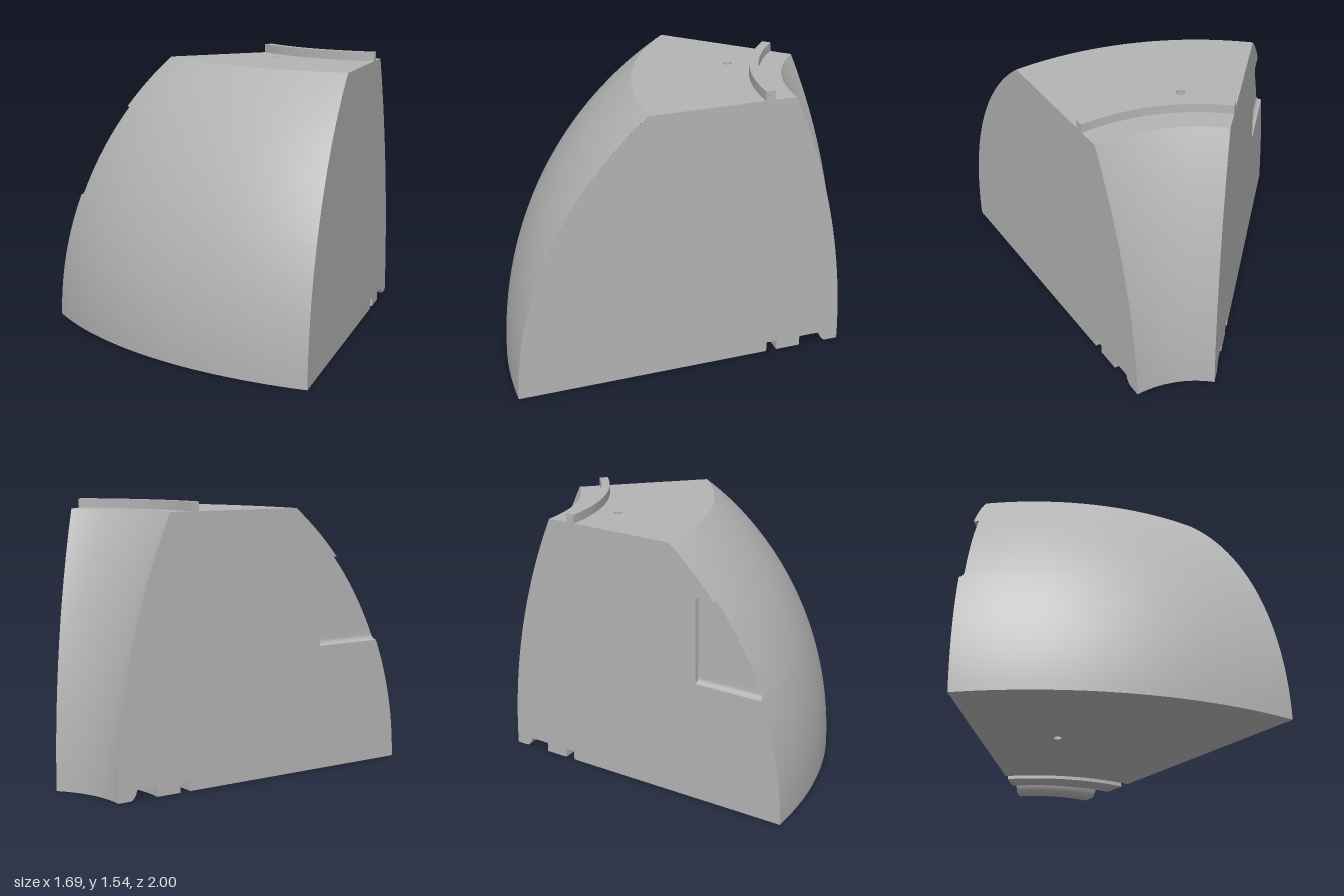
import * as THREE from 'three';
import { toCreasedNormals } from 'three/addons/utils/BufferGeometryUtils.js';

const V = (x, y) => new THREE.Vector2(x, y);
const SWEEP = Math.PI / 4, H = 1.49, SEG = 48;
const NOTCH = { r: 1.85, y0: 0.71, y1: 1.21, d: 0.03 };

// radius of the domed outer wall and of the hollow inner wall at height y
const outerR = y => 2.395 - (1.91 - Math.sqrt(1.91 ** 2 - y * y));
const innerR = y => 0.558 + (3.578 - Math.sqrt(3.578 ** 2 - y * y));
const range = (a, b, n) => Array.from({ length: n + 1 }, (_, i) => a + (b - a) * i / n);

export function createModel() {
  const grey = new THREE.MeshStandardMaterial({ color: 0xb4b4b4 });
  grey.name = 'grey';
  const model = new THREE.Group();
  model.name = 'domeSegment';
  // everything is built around the axis of revolution
  const body = new THREE.Group();
  body.name = 'segmentBody';
  body.position.set(0.845, 0, -1.395);
  model.add(body);

  const add = (name, geometry, parent = body) => {
    const mesh = new THREE.Mesh(geometry, grey);
    mesh.name = name;
    parent.add(mesh);
    return mesh;
  };
  const revolve = points =>
    toCreasedNormals(new THREE.LatheGeometry(points, SEG, -SWEEP, SWEEP), 0.5);

  // section pieces, counter-clockwise
  const inner = range(H, 0, 24).map(y => V(innerR(y), y));
  const grooves = [V(0.558, 0), V(0.635, 0), V(0.65, 0.012), V(0.662, 0.03), V(0.67, 0.055),
    V(0.79, 0.055), V(0.79, 0), V(0.93, 0), V(0.93, 0.055), V(0.99, 0.055), V(0.99, 0)];
  const ridge = [V(1.055, H), V(1.055, 1.54), V(1.005, 1.54), V(1.005, H), V(innerR(H), H)];

  add('innerWall', revolve(inner));
  add('bottomGrooves', revolve(grooves));
  add('topRidge', revolve(ridge));

  // notch depth by height: rounded lower ledge, flat floor, square upper ledge
  const notchRows = [
    ...range(0, Math.PI / 2, 6).map(a => [NOTCH.y0 + NOTCH.d * (1 - Math.cos(a)), NOTCH.d * Math.sin(a)]),
    ...range(NOTCH.y0 + NOTCH.d, NOTCH.y1, 10).slice(1).map(y => [y, NOTCH.d]),
    [NOTCH.y1 + 0.001, 0]];
  const lowRows = range(0, NOTCH.y0, 14).slice(0, -1).map(y => [y, 0]);
  const highRows = range(NOTCH.y1 + 0.001, H, 8).slice(1).map(y => [y, 0]);

  // outer wall, with its edge pulled back where the notch opens
  const rows = [...lowRows, ...notchRows, ...highRows];
  const wall = new THREE.LatheGeometry(rows.map(([y]) => V(outerR(y), y)), SEG, -SWEEP, SWEEP);
  const pos = wall.attributes.position;
  for (let i = 0; i < pos.count; i++) {
    const [y, d] = rows[i % rows.length], r = outerR(y);
    const start = -SWEEP + Math.asin(d / r);
    const phi = start * (1 - Math.floor(i / rows.length) / SEG);
    pos.setXYZ(i, r * Math.sin(phi), y, r * Math.cos(phi));
  }
  add('outerWall', wall);

  // flat ring sectors with a small blind hole
  const flat = (name, r0, r1, y, up, holeR) => {
    const s = up ? -1 : 1, a = 0.529;
    const at = (r, phi) => V(r * Math.sin(phi), s * r * Math.cos(phi));
    const angles = range(-SWEEP, 0, SEG);
    const shape = new THREE.Shape([
      ...angles.map(p => at(r0, p)), ...angles.reverse().map(p => at(r1, p))]);
    const c = at(holeR, -a);
    shape.holes.push(new THREE.Path().absarc(c.x, c.y, 0.025, 0, Math.PI * 2));
    const geometry = new THREE.ShapeGeometry(shape, 12);
    geometry.rotateX(s * Math.PI / 2);
    add(name, geometry).position.y = y;
    const hole = add(name + 'Hole', toCreasedNormals(
      new THREE.LatheGeometry([V(0.025, 0), V(0.025, -0.1), V(0, -0.1)], 24), 0.5));
    hole.position.set(c.x, y, s * c.y);
    if (!up) hole.rotation.x = Math.PI;
  };
  flat('topFace', 1.055, outerR(H), H, true, 1.18);
  flat('bottomFace', 0.99, outerR(0), 0, false, 1.674);

  // plain side face
  const arc = (a, b, n) => range(a, b, n).map(y => V(outerR(y), y));
  const section = outer => [...grooves, ...outer, ...ridge, ...inner.slice(1, -1)];
  const plain = section(arc(0, H, 32)).map(p => V(-p.x, p.y));
  add('plainSide', new THREE.ShapeGeometry(new THREE.Shape(plain))).rotation.y = Math.PI / 2;

  // notched side: local x runs outwards, local z faces away from the body
  const side = new THREE.Group();
  side.name = 'notchedSide';
  side.rotation.y = -3 * Math.PI / 4;
  body.add(side);
  const cut = section([...arc(0, NOTCH.y0, 14), V(NOTCH.r, NOTCH.y0),
    V(NOTCH.r, NOTCH.y1), ...arc(NOTCH.y1, H, 8)]);
  add('notchedSideFace', new THREE.ShapeGeometry(new THREE.Shape(cut)), side);

  // notch floor and ledges
  const floor = new THREE.PlaneGeometry(1, 1, 1, notchRows.length - 1);
  notchRows.slice().reverse().forEach(([y, d], j) => {
    const edge = Math.sqrt(outerR(y) ** 2 - d * d);
    floor.attributes.position.setXYZ(j * 2, NOTCH.r, y, -d);
    floor.attributes.position.setXYZ(j * 2 + 1, edge, y, -d);
  });
  add('notchFloor', toCreasedNormals(floor, 0.6), side);

  // notch end wall
  const end = new THREE.ShapeGeometry(new THREE.Shape(notchRows.map(([y, d]) => V(d, y))));
  end.rotateY(Math.PI / 2);
  add('notchEnd', end, side).position.x = NOTCH.r;

  return model;
}
